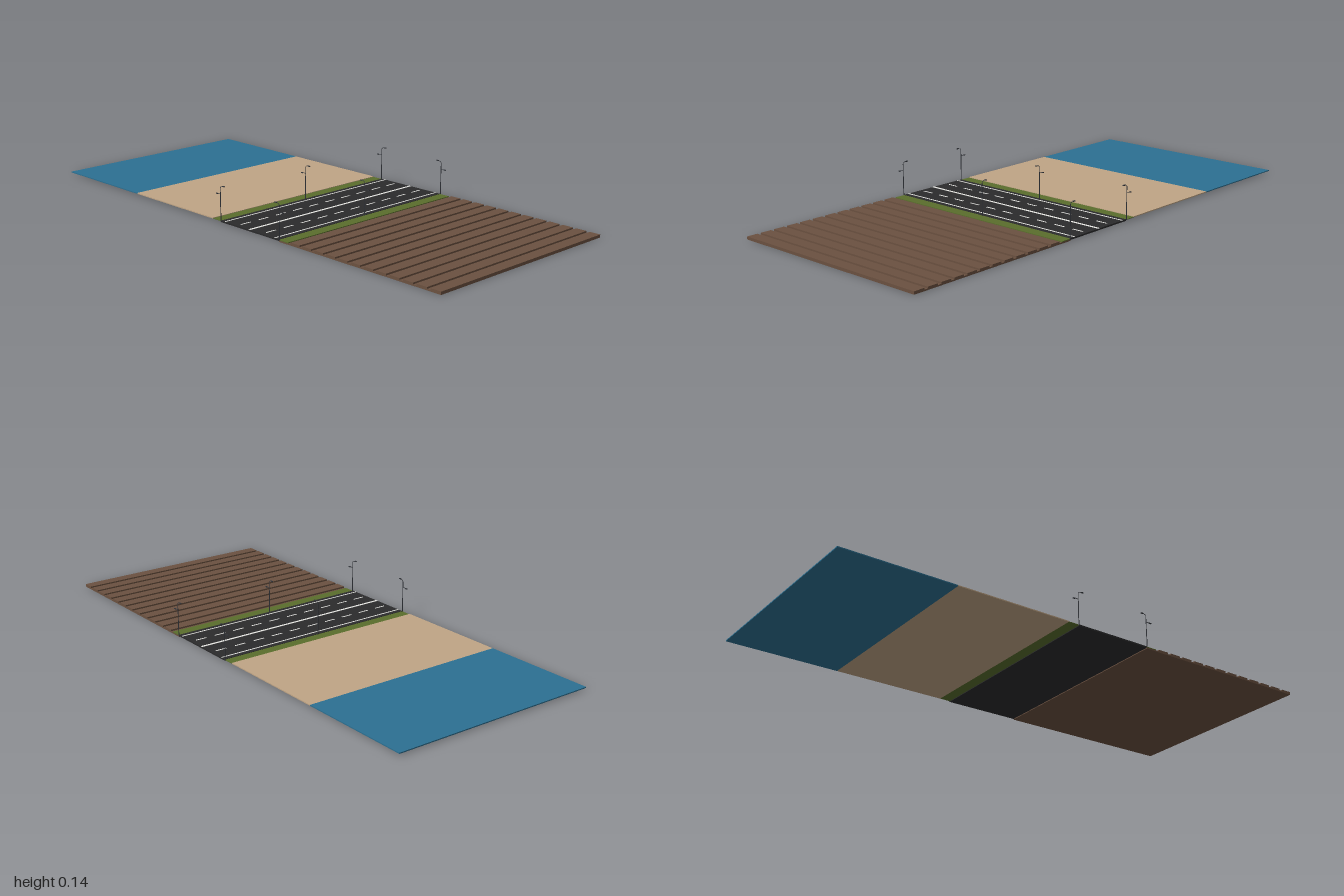
import * as THREE from 'three';

const mat = (name, color) => {
  const m = new THREE.MeshStandardMaterial({ color });
  m.name = name;
  return m;
};

export function createModel() {
  const water = mat('water blue', 0x2c7092);
  const sand = mat('sand', 0xc0a585);
  const grass = mat('grass green', 0x5a6e2c);
  const asphalt = mat('asphalt', 0x2b2b2c);
  const paint = mat('road paint', 0xf0f0ec);
  const soil = mat('soil brown', 0x6b5140);
  const metal = mat('lamp metal', 0x33363c);

  const model = new THREE.Group();
  const D = 0.84; // depth of every strip

  // Box given by its x range, y range, z centre and depth
  const slab = (name, material, x0, x1, y0, y1, z = 0, depth = D) => {
    const mesh = new THREE.Mesh(new THREE.BoxGeometry(x1 - x0, y1 - y0, depth), material);
    mesh.position.set((x0 + x1) / 2, (y0 + y1) / 2, z);
    mesh.name = name;
    model.add(mesh);
  };

  // Ground strips
  slab('sea', water, -1, -0.55, 0.006, 0.01);
  slab('beach', sand, -0.55, -0.09, 0.006, 0.01);
  slab('leftVerge', grass, -0.09, -0.045, 0.006, 0.008);
  slab('road', asphalt, -0.045, 0.265, 0.003, 0.009);
  slab('rightVerge', grass, 0.265, 0.31, 0.005, 0.008);
  slab('field', soil, 0.265, 1, 0, 0.005);

  // Raised field ridges
  const count = 12, pitch = 0.69 / count;
  for (let i = 0; i < count; i++) {
    const x = 0.31 + i * pitch + 0.014;
    slab('fieldRidge', soil, x, x + pitch - 0.014, 0.005, 0.011);
  }

  // Solid edge and centre lines
  for (const [x, w] of [[-0.023, 0.006], [0.11, 0.01], [0.243, 0.006]])
    slab('solidLine', paint, x - w / 2, x + w / 2, 0.009, 0.0098);

  // Dashed lane lines
  for (const x of [0.043, 0.177])
    for (let i = 0; i < 10; i++)
      slab('laneDash', paint, x - 0.003, x + 0.003, 0.009, 0.0098, (i - 4.5) * 0.084, 0.046);

  // Street lamp: tall arm over the road (+x), short lower arm over the verge
  const lamp = (x, z, side) => {
    const g = new THREE.Group();
    g.name = 'streetLamp';
    const add = (name, geo, px = 0, py = 0) => {
      const mesh = new THREE.Mesh(geo, metal);
      mesh.position.set(px, py, 0);
      mesh.name = name;
      g.add(mesh);
    };
    add('pole', new THREE.CylinderGeometry(0.0012, 0.0018, 0.126, 8), 0, 0.069);
    const bend = new THREE.QuadraticBezierCurve3(
      new THREE.Vector3(0, 0.13, 0), new THREE.Vector3(0.001, 0.139, 0), new THREE.Vector3(0.014, 0.139, 0));
    add('upperArm', new THREE.TubeGeometry(bend, 8, 0.001, 6));
    add('upperHead', new THREE.BoxGeometry(0.01, 0.003, 0.005), 0.018, 0.139);
    add('lowerArm', new THREE.BoxGeometry(0.016, 0.0016, 0.0016), -0.008, 0.108);
    add('lowerHead', new THREE.BoxGeometry(0.008, 0.003, 0.005), -0.019, 0.107);
    g.position.set(x, 0, z);
    g.rotation.y = side > 0 ? 0 : Math.PI;
    model.add(g);
  };
  for (const z of [-0.42, 0, 0.42]) {
    lamp(-0.046, z, 1);
    lamp(0.267, z, -1);
  }

  return model;
}
